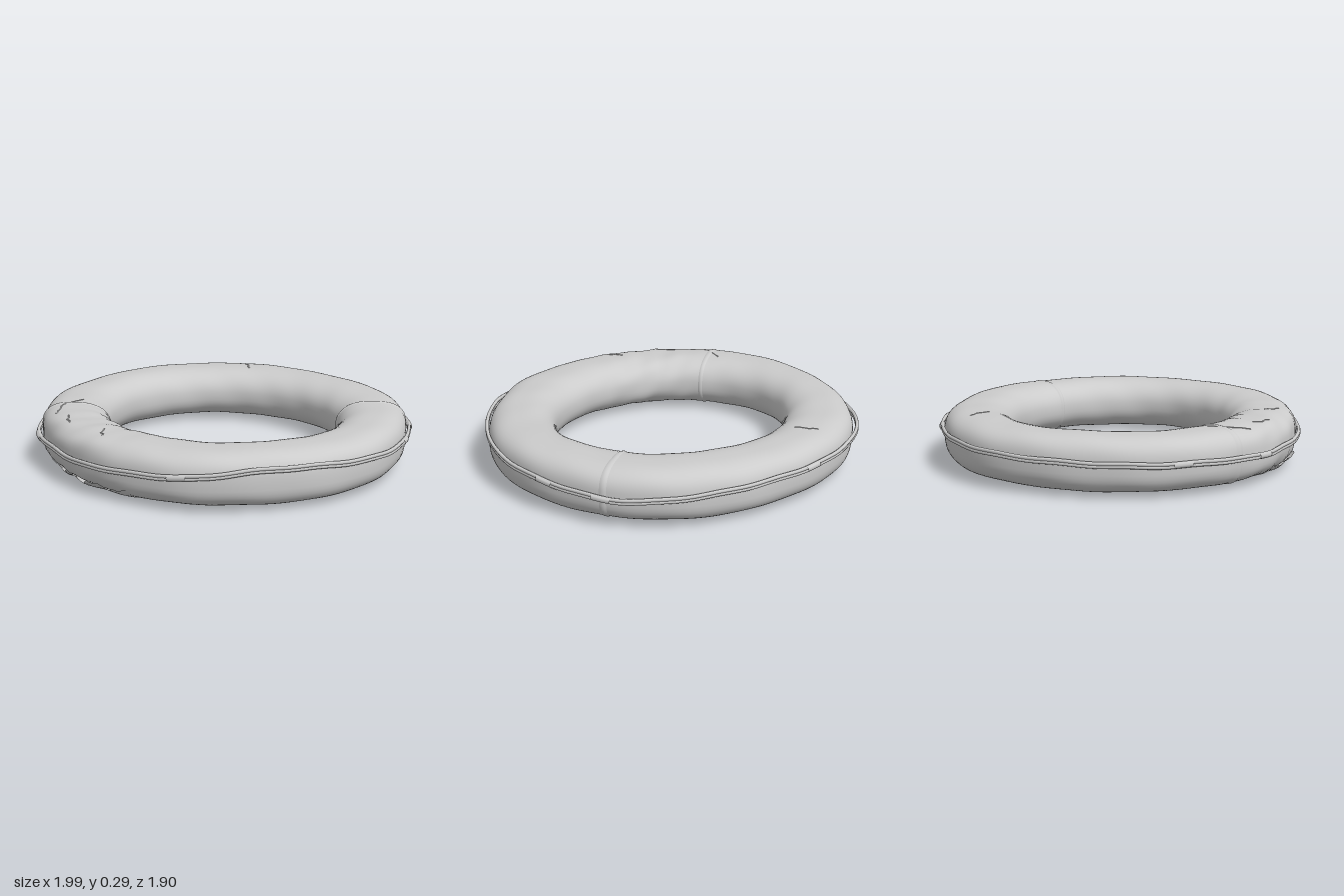
import * as THREE from 'three';

const TAU = Math.PI * 2;
const material = new THREE.MeshStandardMaterial({ color: 0xcccccc, side: THREE.DoubleSide });

// Values every 15 degrees, from +x towards +z
const OUTER = [0.972, 0.962, 0.946, 0.936, 0.942, 0.928, 0.922, 0.924, 0.935, 0.958, 0.97, 0.98,
  0.972, 0.973, 0.976, 0.975, 0.962, 0.945, 0.933, 0.943, 0.96, 0.97, 0.964, 0.966];
const ROPE_Y = [0.2, 0.217, 0.232, 0.228, 0.2, 0.184, 0.175, 0.164, 0.163, 0.168, 0.174, 0.178,
  0.182, 0.188, 0.194, 0.198, 0.2, 0.203, 0.205, 0.195, 0.18, 0.168, 0.172, 0.185];

// Smooth periodic lookup in a ring of values
function ring(values, a) {
  const n = values.length;
  const t = (((a / TAU) % 1) + 1) % 1 * n;
  const i = Math.floor(t), f = t - i;
  const [p, q, r, s] = [-1, 0, 1, 2].map(k => values[(i + k + n) % n]);
  return q + 0.5 * f * (r - p + f * (2 * p - 5 * q + 4 * r - s + f * (3 * (q - r) + s - p)));
}

const bump = (a, centre, width) => {
  const d = Math.atan2(Math.sin(a - centre), Math.cos(a - centre)) / width;
  return Math.exp(-d * d);
};
const deg = d => d * Math.PI / 180;

// Point on the float: a runs round the ring, p round its rounded section
function floatPoint(a, p, offset = 0) {
  const outer = ring(OUTER, a);
  const inner = 1 / Math.hypot(Math.cos(a) / 0.625, Math.sin(a) / 0.566)
    - 0.01 * Math.cos(a) - 0.01 * Math.sin(a);
  const c = Math.cos(p), s = Math.sin(p);
  const e = c > 0 ? 2 / 2.9 : 2 / 2.3;
  const power = v => Math.sign(v) * Math.abs(v) ** e;
  // Worn, slightly dented skin, worst at the front left of the plan
  const wear = 0.0015 * Math.sin(7 * a + 2 * p) + 0.001 * Math.sin(17 * a - 3 * p)
    + bump(a, deg(115), 0.45) * 0.004 * Math.sin(23 * a + 4 * p) * Math.sin(11 * a - 2 * p);
  const off = offset + wear;
  const r = (outer + inner) / 2 + ((outer - inner) / 2 + off) * power(c);
  const y = 0.162 + (0.137 + off) * power(s);
  return new THREE.Vector3(r * Math.cos(a), y, r * Math.sin(a));
}

// Grid surface from a point function; wrapped directions share their seam
function gridSurface(nu, nv, fn, wrapU, wrapV) {
  const cu = wrapU ? nu : nu + 1, cv = wrapV ? nv : nv + 1;
  const pos = [], index = [];
  for (let i = 0; i < cu; i++)
    for (let j = 0; j < cv; j++) pos.push(...fn(i / nu, j / nv).toArray());
  for (let i = 0; i < nu; i++)
    for (let j = 0; j < nv; j++) {
      const i2 = (i + 1) % cu, j2 = (j + 1) % cv;
      const a = i * cv + j, b = i2 * cv + j, c = i2 * cv + j2, d = i * cv + j2;
      index.push(a, d, b, b, d, c);
    }
  const g = new THREE.BufferGeometry();
  g.setAttribute('position', new THREE.Float32BufferAttribute(pos, 3));
  g.setIndex(index);
  g.computeVertexNormals();
  return g;
}

// Centre line of the rope, standing slightly off the float where it hangs free
function ropePoint(a) {
  const slack = 0.016 * (bump(a, deg(215), 0.3) + bump(a, deg(318), 0.22) + bump(a, deg(133), 0.16))
    + 0.008 * (bump(a, deg(100), 0.2) + bump(a, deg(270), 0.25) + bump(a, deg(180), 0.3));
  const r = ring(OUTER, a) + 0.007 + slack;
  const y = ring(ROPE_Y, a) + 0.002 * Math.sin(19 * a);
  return new THREE.Vector3(r * Math.cos(a), y, r * Math.sin(a));
}

export function createModel() {
  const model = new THREE.Group();
  const add = (name, geometry, parent = model) => {
    const mesh = new THREE.Mesh(geometry, material);
    mesh.name = name;
    parent.add(mesh);
    return mesh;
  };

  // Float ring
  add('floatRing', gridSurface(144, 48, (u, v) => floatPoint(u * TAU, v * TAU), true, true));

  // Grab rope of two cords lying together
  const rope = new THREE.Group();
  rope.name = 'grabRope';
  model.add(rope);
  for (const dy of [-0.007, 0.007]) {
    const points = Array.from({ length: 96 }, (_, i) => {
      const p = ropePoint(i / 96 * TAU);
      p.y += dy;
      return p;
    });
    const path = new THREE.CatmullRomCurve3(points, true);
    add('ropeCord', new THREE.TubeGeometry(path, 288, 0.0095, 8, true), rope);
  }

  // Lashings holding the rope to the float
  for (const d of [66, 132, 160, 256, 322, 341]) {
    const points = [-4, -2, 0, 2, 4].map(k => ropePoint(deg(d + k * 0.7)));
    const lashing = new THREE.TubeGeometry(new THREE.CatmullRomCurve3(points), 16, 0.016, 8);
    add('ropeLashing', lashing);
  }

  // Seams of the cover, wrapped round the section
  for (const [d, width] of [[-38, 1.1], [141, 1.1]]) {
    add('coverSeam', gridSurface(4, 48, (u, v) =>
      floatPoint(deg(d + (u - 0.5) * width * 2), v * TAU, 0.004 * Math.sin(u * Math.PI)), false, true));
  }

  // Torn flap of cover along the lower front edge
  add('tornFlap', gridSurface(32, 8, (u, v) => {
    const a = deg(82 + 42 * u);
    const ragged = 0.12 * Math.sin(u * 21) + 0.08 * Math.sin(u * 47);
    const p = -1.55 + v * (0.95 + ragged);
    return floatPoint(a, p, 0.003 + 0.013 * Math.sin(u * Math.PI) * (0.6 + 0.4 * Math.sin(u * 17)));
  }, false, false));

  // Wrinkles in the cover
  const wrinkles = [[132, 1.0, 146, 1.7], [118, 1.1, 126, 1.3], [98, 1.2, 103, 1.5], [241, 1.3, 244, 1.7]];
  for (const [a0, p0, a1, p1] of wrinkles) {
    const points = [0, 0.25, 0.5, 0.75, 1].map(t => floatPoint(
      deg(a0 + (a1 - a0) * t), p0 + (p1 - p0) * t + 0.04 * Math.sin(t * 9), -0.001));
    add('coverWrinkle', new THREE.TubeGeometry(new THREE.CatmullRomCurve3(points), 20, 0.004, 6));
  }

  return model;
}
